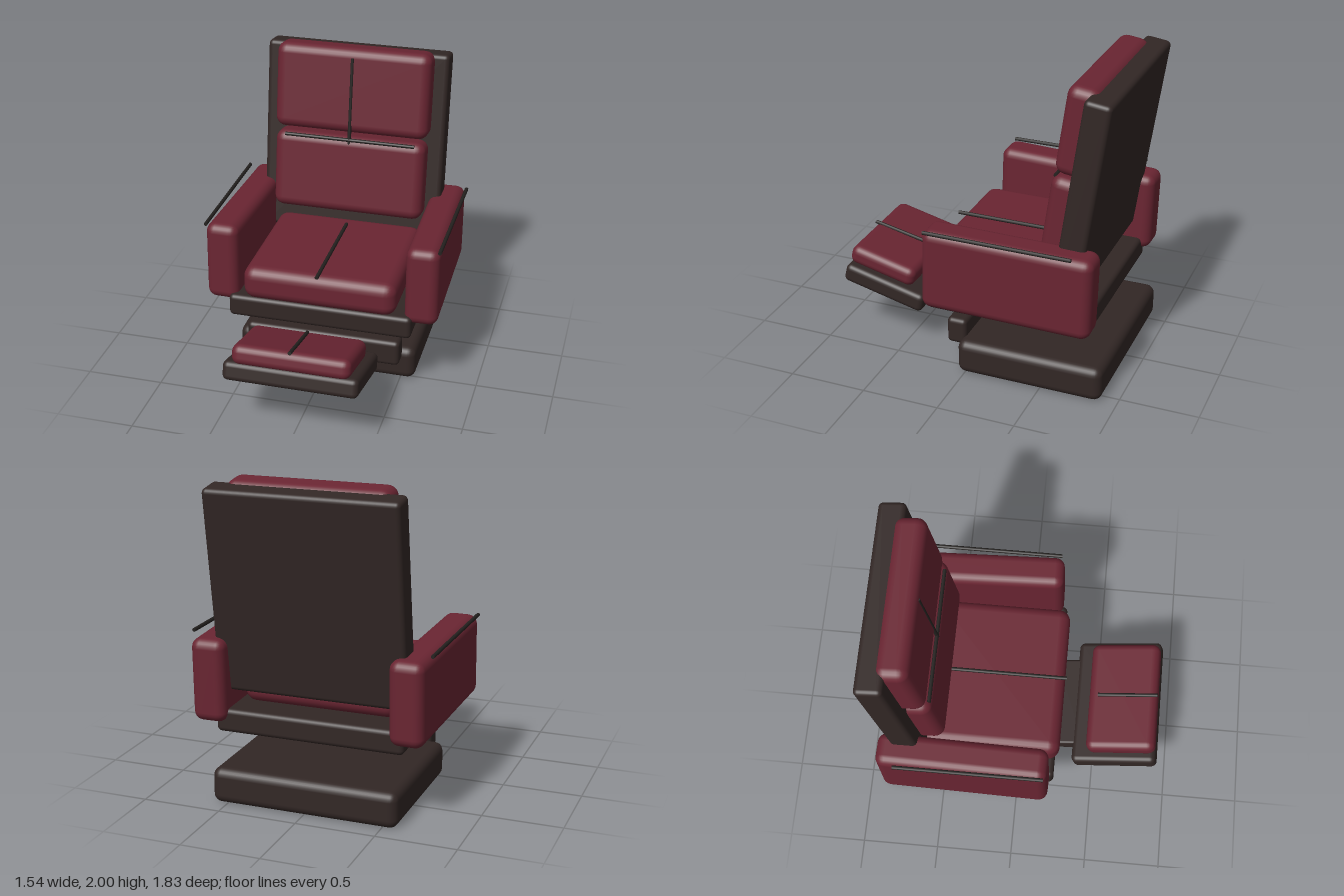
import * as THREE from 'three';
import { RoundedBoxGeometry } from 'three/addons/geometries/RoundedBoxGeometry.js';

export function createModel() {
  const model = new THREE.Group();
  model.name = 'reclinerChair';

  const leather = new THREE.MeshStandardMaterial({ name: 'burgundy leather', color: 0x6a2532 });
  const frame = new THREE.MeshStandardMaterial({ name: 'dark brown frame', color: 0x322725 });
  const trim = new THREE.MeshStandardMaterial({ name: 'black piping', color: 0x24211f });

  const RECLINE = -0.14; // backrest lean
  const LIFT = -0.24;    // footrest tilt
  const ARM_TILT = 0.025;

  // Soft-edged block: size, centre, edge radius, tilt about x and y
  function block(name, material, size, pos, radius, tilt = 0, yaw = 0) {
    const mesh = new THREE.Mesh(new RoundedBoxGeometry(...size, 3, radius), material);
    mesh.name = name;
    mesh.position.set(...pos);
    mesh.rotation.set(tilt, yaw, 0);
    model.add(mesh);
  }

  // Thin straight piping between two points
  function piping(name, from, to) {
    const a = new THREE.Vector3(...from);
    const b = new THREE.Vector3(...to);
    const mesh = new THREE.Mesh(new THREE.CylinderGeometry(0.012, 0.012, a.distanceTo(b), 10), trim);
    mesh.name = name;
    mesh.position.copy(a).lerp(b, 0.5);
    mesh.quaternion.setFromUnitVectors(new THREE.Vector3(0, 1, 0), b.sub(a).normalize());
    model.add(mesh);
  }

  // Base and seat
  block('base', frame, [1.19, 0.225, 0.95], [0, 0.1125, -0.425], 0.055);
  block('baseFrontBlock', frame, [1.02, 0.175, 0.13], [0, 0.2425, 0.085], 0.03);
  block('seatFrame', frame, [1.2, 0.15, 1.045], [0, 0.505, -0.2775], 0.03);
  block('seatCushion', leather, [1.0, 0.225, 0.9], [0, 0.6875, -0.18], 0.075);
  piping('seatPiping', [0, 0.813, 0.28], [0, 0.813, -0.48]);

  // Reclined back
  block('backFrame', frame, [1.21, 1.28, 0.17], [0, 1.325, -0.742], 0.03, RECLINE);
  block('upperBackCushion', leather, [1.025, 0.565, 0.205], [0, 1.713, -0.675], 0.065, RECLINE);
  block('lowerBackCushion', leather, [1.01, 0.525, 0.2], [0, 1.153, -0.585], 0.065, RECLINE);
  piping('backPipingVertical', [0, 1.945, -0.61], [0, 0.995, -0.476]);
  piping('backPipingHorizontal', [-0.435, 1.405, -0.532], [0.435, 1.405, -0.532]);

  // Arms, splayed slightly outward at the front
  for (const [side, s] of [['left', 1], ['right', -1]]) {
    block(side + 'Arm', leather, [0.215, 0.525, 1.075], [s * 0.64, 0.773, -0.325], 0.06, -ARM_TILT, s * ARM_TILT);
    piping(side + 'ArmPiping', [s * 0.757, 1.043, 0.185], [s * 0.757, 1.043, -0.75]);
  }

  // Raised footrest
  block('footrestLink', frame, [0.6, 0.095, 0.25], [0, 0.317, 0.325], 0.015, LIFT);
  block('footrestFrame', frame, [0.85, 0.125, 0.565], [0, 0.387, 0.637], 0.035, LIFT);
  block('footrestCushion', leather, [0.745, 0.13, 0.46], [0, 0.51, 0.67], 0.05, LIFT);
  piping('footrestPiping', [0, 0.545, 0.495], [0, 0.63, 0.885]);

  return model;
}
